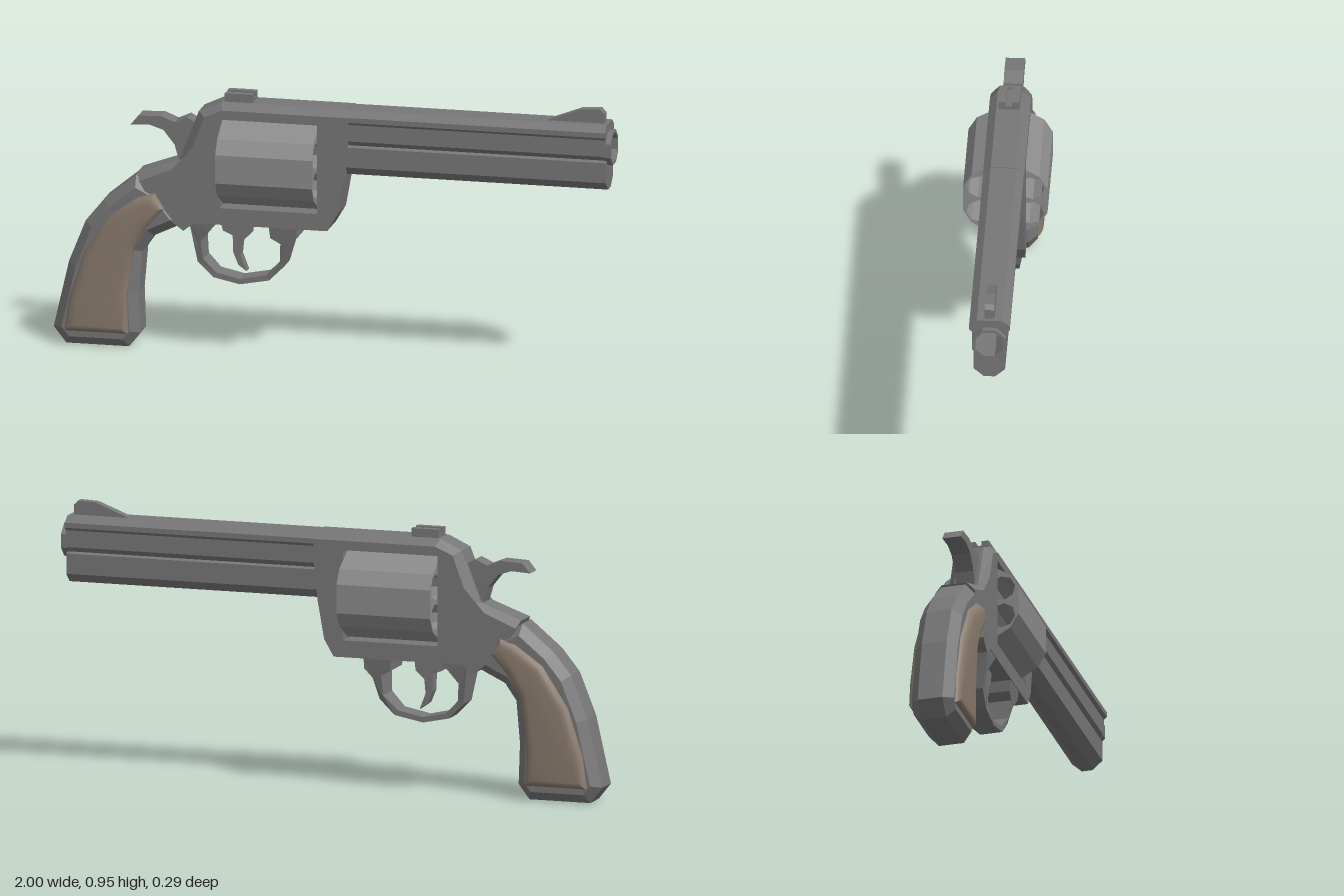
import * as THREE from 'three';
import { toCreasedNormals } from 'three/addons/utils/BufferGeometryUtils.js';

const mat = (color) => new THREE.MeshStandardMaterial({ color, flatShading: true });
const steel = mat(0x777777);
const drumSteel = mat(0x8c8c8c);
const wood = new THREE.MeshStandardMaterial({ color: 0x8a7b6e });

const toShape = (pts) => new THREE.Shape(pts.map(([x, y]) => new THREE.Vector2(x, y)));

function addPart(group, name, geometry, material = steel) {
  const mesh = new THREE.Mesh(geometry, material);
  mesh.name = name;
  group.add(mesh);
  return mesh;
}

// Regular polygon centred at (cx, cy)
function polygon(cx, cy, r, n, turn = 0) {
  return Array.from({ length: n }, (_, i) => {
    const a = turn + (i / n) * Math.PI * 2;
    return [cx + r * Math.cos(a), cy + r * Math.sin(a)];
  });
}

// Plate of half thickness w, lying in the side plane
function plate(pts, w) {
  return new THREE.ExtrudeGeometry(toShape(pts), { depth: 2 * w, bevelEnabled: false }).translate(0, 0, -w);
}

// Cross-section (z, y) swept along x from x0 to x1
function sweepX(pts, holes, x0, x1) {
  const shape = toShape(pts);
  shape.holes = holes.map(toShape);
  return new THREE.ExtrudeGeometry(shape, { depth: x1 - x0, bevelEnabled: false })
    .rotateY(Math.PI / 2).translate(x0, 0, 0);
}

// Plate with chamfered rim: points are [x, y, dx, dy], the offset moving the rim on the side faces
function chamferedPlate(pts, edgeZ, sideZ, holes = []) {
  const shape = toShape(pts);
  shape.holes = holes.map(toShape);
  const g = new THREE.ExtrudeGeometry(shape, { depth: 3, steps: 3, bevelEnabled: false });
  const p = g.attributes.position;
  const levels = [-sideZ, -edgeZ, edgeZ, sideZ];
  for (let i = 0; i < p.count; i++) {
    const layer = Math.round(p.getZ(i));
    const hit = pts.find(([x, y]) => Math.hypot(x - p.getX(i), y - p.getY(i)) < 1e-4);
    if (hit && (layer === 0 || layer === 3)) {
      p.setXY(i, hit[0] + (hit[2] ?? 0), hit[1] + (hit[3] ?? 0));
    }
    p.setZ(i, levels[layer]);
  }
  g.computeVertexNormals();
  return g;
}

// Adds inward mitred offsets of size d to a counter-clockwise outline
function withInset(pts, d) {
  return pts.map(([x, y], i) => {
    const [px, py] = pts[(i + pts.length - 1) % pts.length];
    const [qx, qy] = pts[(i + 1) % pts.length];
    const n1 = new THREE.Vector2(py - y, x - px).normalize();
    const n2 = new THREE.Vector2(y - qy, qx - x).normalize();
    const k = d / (1 + n1.dot(n2));
    return [x, y, (n1.x + n2.x) * k, (n1.y + n2.y) * k];
  });
}

export function createModel() {
  const model = new THREE.Group();
  model.name = 'revolver';

  // Frame with the drum window
  const frame = [
    [-0.015, 0.47], [0.02, 0.53], [0.045, 0.67], [0.06, 0.82],
    [0.06, 0.907, 0, -0.024], [-0.4, 0.907, 0.01, -0.024], [-0.48, 0.87, 0.025, -0.015],
    [-0.55, 0.69, 0.03, -0.01], [-0.7, 0.635, 0.012, -0.025],
    [-0.66, 0.56], [-0.6, 0.49], [-0.53, 0.44], [-0.49, 0.47],
  ];
  const drumWindow = [[-0.4, 0.53], [-0.4, 0.85], [-0.05, 0.85], [-0.05, 0.53]];
  addPart(model, 'frame', chamferedPlate(frame, 0.045, 0.072, [drumWindow]));

  // Drum: twelve-sided with six open chambers
  const drumY = 0.69;
  const rim = [];
  const chambers = [];
  for (let i = 0; i < 6; i++) {
    const a = Math.PI / 6 + (i * Math.PI) / 3;
    for (const s of [-0.19, 0.19]) rim.push([0.156 * Math.cos(a + s), drumY + 0.156 * Math.sin(a + s)]);
    chambers.push(polygon(0.104 * Math.cos(a), drumY + 0.104 * Math.sin(a), 0.046, 8, a + Math.PI / 8));
  }
  addPart(model, 'drum', sweepX(rim, chambers, -0.398, -0.052), drumSteel);

  // Barrel with top rib and underlug
  const half = [
    [0.02, 0.668], [0.055, 0.7], [0.055, 0.772], [0.042, 0.778], [0.06, 0.796],
    [0.06, 0.856], [0.071, 0.866], [0.071, 0.884], [0.045, 0.905],
  ];
  const section = [...half, ...half.map(([z, y]) => [-z, y]).reverse()];
  const boreY = 0.817;
  const bore = polygon(0, boreY, 0.053, 8, Math.PI / 8);
  addPart(model, 'barrel', sweepX(section, [bore], 0.04, 0.98));
  addPart(model, 'muzzleRing', sweepX(polygon(0, boreY, 0.064, 8, Math.PI / 8), [bore], 0.97, 0.998));

  // Sights
  addPart(model, 'frontSight', plate(
    [[0.75, 0.9], [0.965, 0.9], [0.965, 0.94], [0.95, 0.955], [0.885, 0.952]], 0.017));
  const rearSight = new THREE.Group();
  rearSight.name = 'rearSight';
  addPart(rearSight, 'rearSightBase', new THREE.BoxGeometry(0.1, 0.02, 0.074).translate(-0.34, 0.91, 0));
  for (const s of [-1, 1]) {
    addPart(rearSight, 'rearSightRail', new THREE.BoxGeometry(0.1, 0.034, 0.026).translate(-0.34, 0.92, s * 0.024));
  }
  model.add(rearSight);

  // Hammer
  addPart(model, 'hammer', plate([
    [-0.5, 0.66], [-0.49, 0.82], [-0.525, 0.84], [-0.57, 0.82], [-0.62, 0.84], [-0.7, 0.836],
    [-0.728, 0.802], [-0.66, 0.806], [-0.61, 0.79], [-0.57, 0.74], [-0.55, 0.67],
  ], 0.034));

  // Trigger guard, narrowing towards the bottom
  const guard = plate([
    [-0.51, 0.475], [-0.5, 0.42], [-0.485, 0.325], [-0.43, 0.27], [-0.335, 0.25], [-0.23, 0.27],
    [-0.175, 0.325], [-0.155, 0.4], [-0.125, 0.435], [-0.125, 0.475], [-0.225, 0.475], [-0.22, 0.43],
    [-0.185, 0.41], [-0.19, 0.34], [-0.24, 0.288], [-0.335, 0.269], [-0.42, 0.288], [-0.465, 0.335],
    [-0.472, 0.4], [-0.44, 0.44], [-0.41, 0.475],
  ], 1);
  const gp = guard.attributes.position;
  for (let i = 0; i < gp.count; i++) {
    const t = THREE.MathUtils.clamp((gp.getY(i) - 0.31) / 0.15, 0, 1);
    gp.setZ(i, gp.getZ(i) * THREE.MathUtils.lerp(0.04, 0.07, t));
  }
  guard.computeVertexNormals();
  addPart(model, 'triggerGuard', guard);

  // Trigger
  addPart(model, 'trigger', plate([
    [-0.41, 0.475], [-0.4, 0.435], [-0.365, 0.42], [-0.363, 0.36], [-0.345, 0.315], [-0.315, 0.293],
    [-0.337, 0.35], [-0.332, 0.4], [-0.3, 0.43], [-0.295, 0.475],
  ], 0.02));

  // Grip body
  const grip = [
    [-0.955, 0.003], [-0.73, 0.003], [-0.69, 0.055], [-0.695, 0.2], [-0.682, 0.35], [-0.64, 0.41],
    [-0.525, 0.465], [-0.62, 0.58], [-0.705, 0.625], [-0.82, 0.53], [-0.885, 0.45], [-0.945, 0.3], [-1, 0.06],
  ];
  addPart(model, 'grip', chamferedPlate(withInset(grip, 0.032), 0.045, 0.077));

  // Rounded wooden panels on both sides of the grip
  const panel = [
    [-0.955, 0.055], [-0.725, 0.055], [-0.728, 0.2], [-0.705, 0.37], [-0.655, 0.45], [-0.597, 0.515],
    [-0.632, 0.57], [-0.69, 0.555], [-0.79, 0.485], [-0.885, 0.34], [-0.94, 0.17],
  ];
  for (const s of [-1, 1]) {
    const g = new THREE.ExtrudeGeometry(toShape(panel), {
      depth: 0.05, bevelThickness: 0.025, bevelSize: 0.035, bevelOffset: -0.035, bevelSegments: 4,
    }).translate(0, 0, -0.025 + s * 0.047);
    addPart(model, s > 0 ? 'frontGripPanel' : 'backGripPanel', toCreasedNormals(g, 0.6), wood);
  }

  return model;
}
